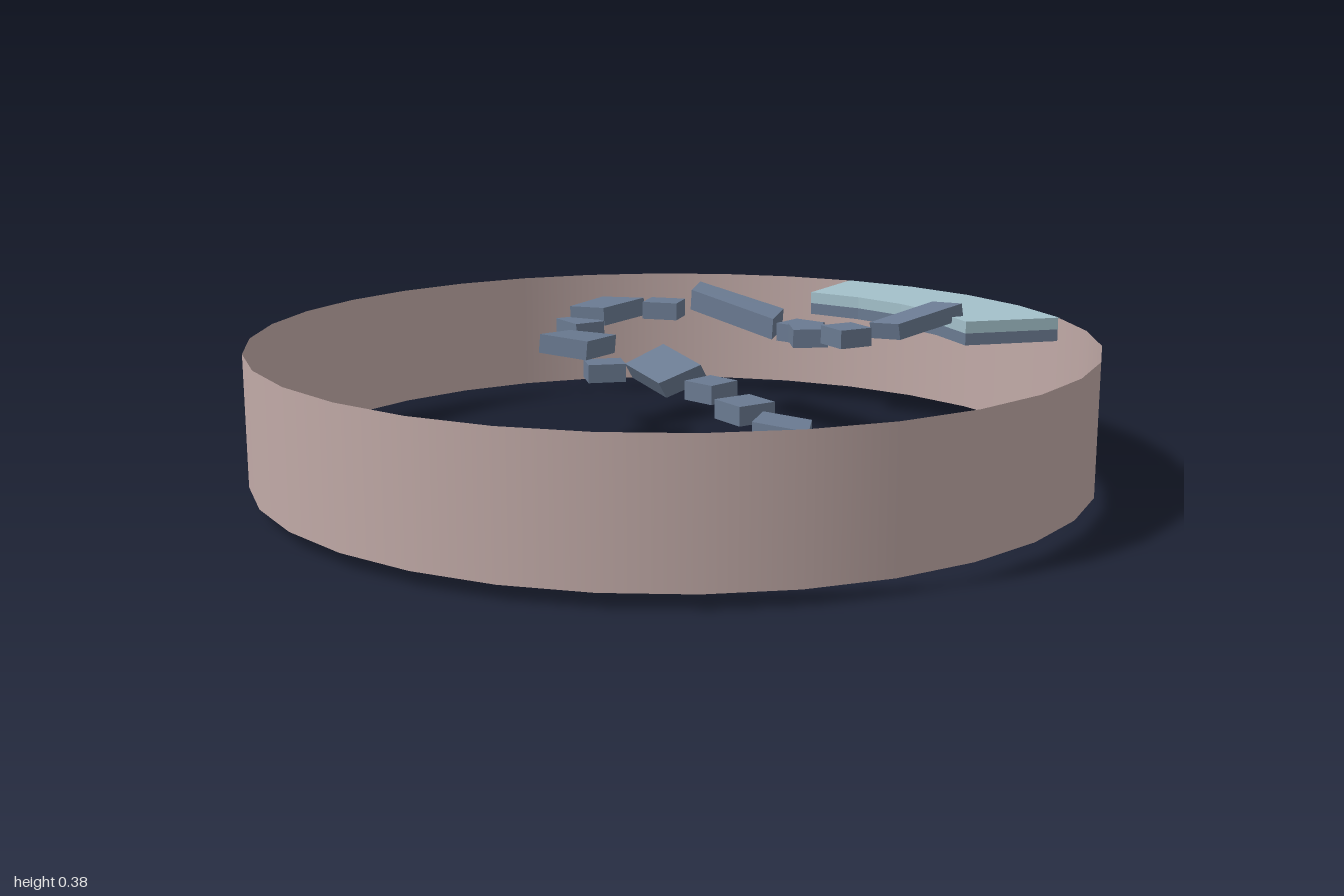
import * as THREE from 'three';

export function createModel() {
  const model = new THREE.Group();
  model.name = 'steppingStoneArena';
  const material = (name, color, side = THREE.FrontSide) => {
    const m = new THREE.MeshStandardMaterial({ color, side });
    m.name = name;
    return m;
  };
  const rose = material('dustyRose', 0xc1aaa7, THREE.DoubleSide);
  const teal = material('paleTeal', 0xa3c0ca);
  const slate = material('slate', 0x6a7a91);
  const dark = material('darkUnderside', 0x394145);
  const add = (name, geometry, mat, y = 0) => {
    const mesh = new THREE.Mesh(geometry, mat);
    mesh.name = name;
    mesh.position.y = y;
    model.add(mesh);
    return mesh;
  };

  // Open outer wall
  add('ringWall', new THREE.CylinderGeometry(1, 1, 0.31, 32, 1, true), rose, 0.188);

  // Curved platform in two layers, each a faceted arc extruded upward
  const arcPoints = [];
  for (const [radius, dir] of [[1.002, 1], [0.75, -1]]) {
    for (let i = -2; i <= 2; i++) {
      const a = dir * i * 0.2;
      arcPoints.push(new THREE.Vector2(radius * Math.sin(a), radius * Math.cos(a)));
    }
  }
  const arc = new THREE.Shape(arcPoints);
  const layer = () => new THREE.ExtrudeGeometry(arc, { depth: 0.03, bevelEnabled: false }).rotateX(-Math.PI / 2);
  add('platformTop', layer(), teal, 0.313);
  add('platformBase', layer(), slate, 0.283);
  add('platformUnderside', new THREE.ShapeGeometry(arc).rotateX(Math.PI / 2).rotateY(Math.PI), dark, 0.282);

  // Slab from four top corners [x, z, y], thickened at right angles to its top
  function slab(name, corners, thickness = 0.048) {
    const top = corners.map(([x, z, y]) => new THREE.Vector3(x, y, z)).reverse();
    const n = top[2].clone().sub(top[0]).cross(top[3].clone().sub(top[1])).normalize();
    const low = top.map((p) => p.clone().addScaledVector(n, -thickness));
    const pos = [];
    const quad = (a, b, c, d) => [a, b, c, a, c, d].forEach((p) => pos.push(p.x, p.y, p.z));
    quad(...top);
    for (let i = 0; i < 4; i++) {
      const j = (i + 1) % 4;
      quad(top[i], low[i], low[j], top[j]);
    }
    quad(low[3], low[2], low[1], low[0]);
    const g = new THREE.BufferGeometry();
    g.setAttribute('position', new THREE.Float32BufferAttribute(pos, 3));
    g.computeVertexNormals();
    g.addGroup(0, 30, 0);
    g.addGroup(30, 6, 1);
    add(name, g, [slate, dark]);
  }

  // Level rectangular stone, turned clockwise as seen from above
  const stoneFaces = [slate, slate, slate, dark, slate, slate];
  function stone(name, x, z, w, d, degrees, top, h = 0.046) {
    const mesh = add(name, new THREE.BoxGeometry(w, h, d), stoneFaces, top - h / 2);
    mesh.position.x = x;
    mesh.position.z = z;
    mesh.rotation.y = -THREE.MathUtils.degToRad(degrees);
  }

  // Path winding down from the platform to the floor
  slab('entryRamp', [[0.15, -0.715, 0.373], [0.23, -0.738, 0.376], [0.193, -0.555, 0.337], [0.115, -0.53, 0.333]], 0.042);
  stone('stone1', 0.13, -0.438, 0.09, 0.09, 8, 0.335);
  stone('stone2', 0.02, -0.41, 0.09, 0.088, 33, 0.322);
  stone('stone3', -0.085, -0.475, 0.09, 0.088, -13, 0.31);
  slab('longBeam', [[-0.505, -0.47, 0.367], [-0.175, -0.493, 0.333], [-0.112, -0.405, 0.323], [-0.435, -0.387, 0.36]], 0.055);
  stone('stone4', -0.487, -0.332, 0.095, 0.085, -37, 0.33);
  slab('turnSlab', [[-0.64, -0.235, 0.33], [-0.53, -0.295, 0.335], [-0.49, -0.135, 0.328], [-0.583, -0.09, 0.325]]);
  stone('stone5', -0.535, -0.09, 0.108, 0.085, 4, 0.295);
  slab('wideSlab', [[-0.478, -0.02, 0.283], [-0.382, -0.1, 0.276], [-0.292, 0.05, 0.288], [-0.41, 0.115, 0.297]]);
  stone('stone6', -0.275, 0.01, 0.08, 0.095, 25, 0.235);
  slab('tiltedSlab', [[-0.195, -0.115, 0.278], [-0.025, -0.103, 0.253], [-0.085, -0.02, 0.207], [-0.25, -0.035, 0.228]]);
  stone('stone7', 0.095, -0.042, 0.088, 0.09, -9, 0.242);
  stone('stone8', 0.228, -0.037, 0.1, 0.1, 3, 0.218);
  slab('pointedSlab', [[0.28, -0.05, 0.2], [0.412, -0.083, 0.2], [0.497, 0, 0.2], [0.347, 0.038, 0.2]]);
  slab('cornerSlab', [[0.44, 0.055, 0.175], [0.58, 0.03, 0.175], [0.576, 0.155, 0.175], [0.436, 0.185, 0.175]]);
  stone('stone9', 0.53, 0.19, 0.092, 0.088, 0, 0.135);
  slab('lowSlab', [[0.436, 0.175, 0.105], [0.52, 0.205, 0.105], [0.524, 0.31, 0.105], [0.441, 0.328, 0.105]]);
  stone('stone10', 0.495, 0.477, 0.087, 0.167, -1, 0.08, 0.05);
  stone('lastStone', 0.418, 0.57, 0.207, 0.094, 0, 0.046);

  return model;
}
